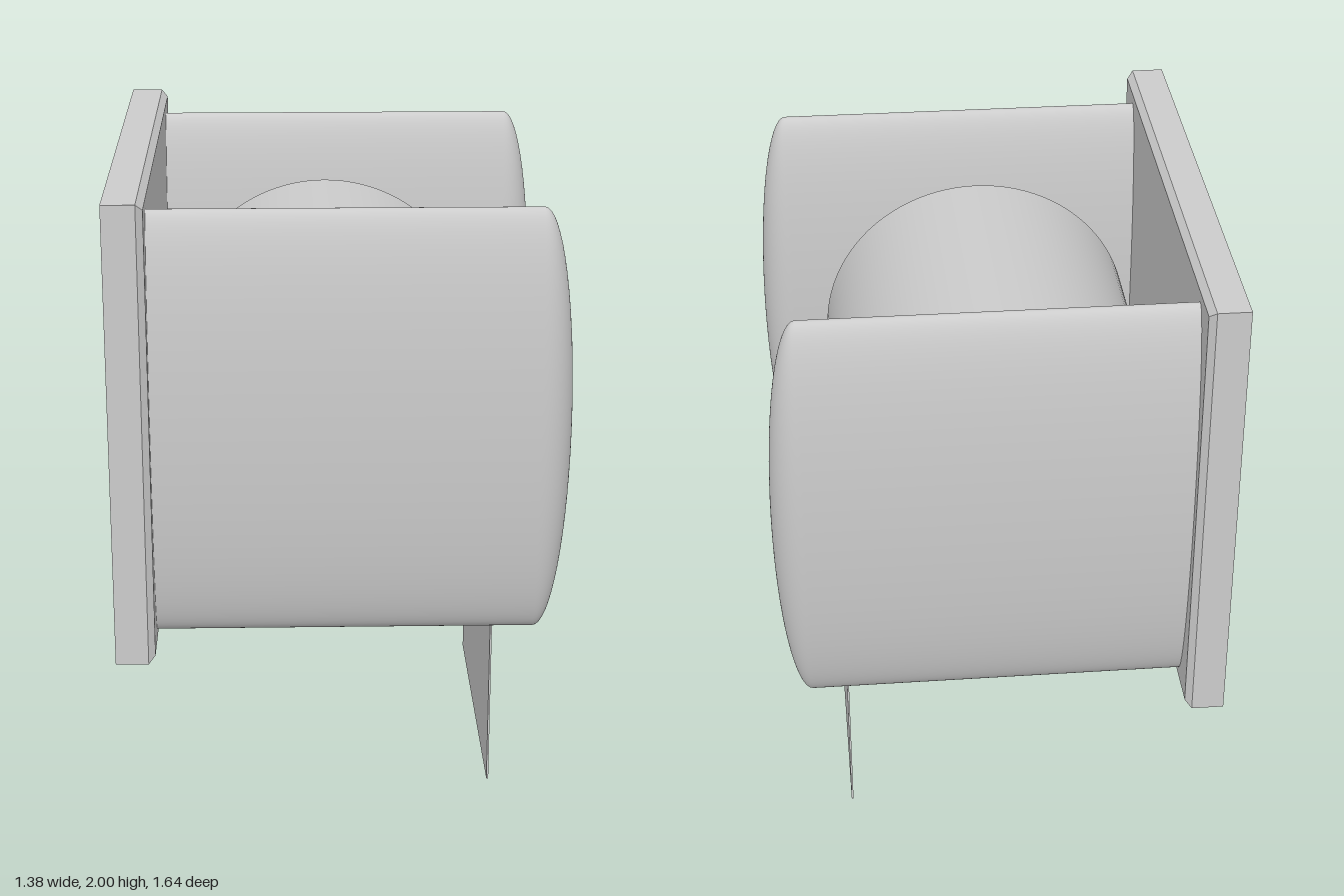
import * as THREE from 'three';
import { toCreasedNormals } from 'three/addons/utils/BufferGeometryUtils.js';

const material = new THREE.MeshStandardMaterial({ color: 0xcccccc });

const AXIS_X = -0.03;   // spindle and roll
const AXIS_Y = 1.285;   // spindle and arms
const ROLL_Y = 1.24;    // the roll hangs a little lower on its spindle
const ROLL_R = 0.51;
const ROLL_W = 1.02;

function part(name, geometry, x, y, z) {
  const mesh = new THREE.Mesh(geometry, material);
  mesh.name = name;
  mesh.position.set(x, y, z);
  return mesh;
}

// Wall plate: a box whose outer face is drawn in to form a chamfer
function plateGeometry(w, h, d, chamfer) {
  const box = new THREE.BoxGeometry(w, h, d, 2, 1, 1);
  const p = box.attributes.position;
  for (let i = 0; i < p.count; i++) {
    const x = p.getX(i);
    if (Math.abs(x) < 1e-4) p.setX(i, w / 2 - chamfer);
    else if (x > 0) {
      p.setY(i, p.getY(i) - Math.sign(p.getY(i)) * chamfer);
      p.setZ(i, p.getZ(i) - Math.sign(p.getZ(i)) * chamfer);
    }
  }
  const flat = box.toNonIndexed();
  flat.computeVertexNormals();
  return flat;
}

// Arm: elliptical bar along x with a domed free end
function armGeometry() {
  const profile = [new THREE.Vector2(1, -0.58)];
  const steps = 16;
  for (let i = 0; i <= steps; i++) {
    const a = (i / steps) * Math.PI / 2;
    profile.push(new THREE.Vector2(i === steps ? 0 : Math.cos(a), 0.59 + 0.1 * Math.sin(a)));
  }
  const g = new THREE.LatheGeometry(profile, 96);
  g.rotateZ(-Math.PI / 2);
  g.scale(1, 0.665, 0.1);
  return g;
}

// Paper roll: thick tube along z
function rollGeometry(inner, outer, width) {
  const h = width / 2;
  const profile = [[inner, -h], [outer, -h], [outer, h], [inner, h], [inner, -h]]
    .map(([r, y]) => new THREE.Vector2(r, y));
  const g = new THREE.LatheGeometry(profile, 96);
  g.rotateX(Math.PI / 2);
  return toCreasedNormals(g, Math.PI / 6);
}

export function createModel() {
  const model = new THREE.Group();
  model.name = 'paperRollHolder';

  model.add(part('wallPlate', plateGeometry(0.12, 1.43, 1.64, 0.02), -0.63, 1.285, 0));

  // Matching arms on either side of the roll
  const arm = armGeometry();
  for (const side of [1, -1]) {
    model.add(part(side > 0 ? 'frontArm' : 'backArm', arm, 0, AXIS_Y, side * 0.667));
  }

  const spindle = new THREE.CylinderGeometry(0.05, 0.05, 1.3, 32);
  spindle.rotateX(Math.PI / 2);
  model.add(part('spindle', spindle, AXIS_X, AXIS_Y, 0));

  model.add(part('paperRoll', rollGeometry(0.1, ROLL_R, ROLL_W), AXIS_X, ROLL_Y, 0));

  // Loose sheet hanging from the outer side of the roll
  const sheet = new THREE.BoxGeometry(0.006, ROLL_Y, ROLL_W);
  model.add(part('hangingSheet', sheet, AXIS_X + ROLL_R - 0.002, ROLL_Y / 2, 0));

  return model;
}
